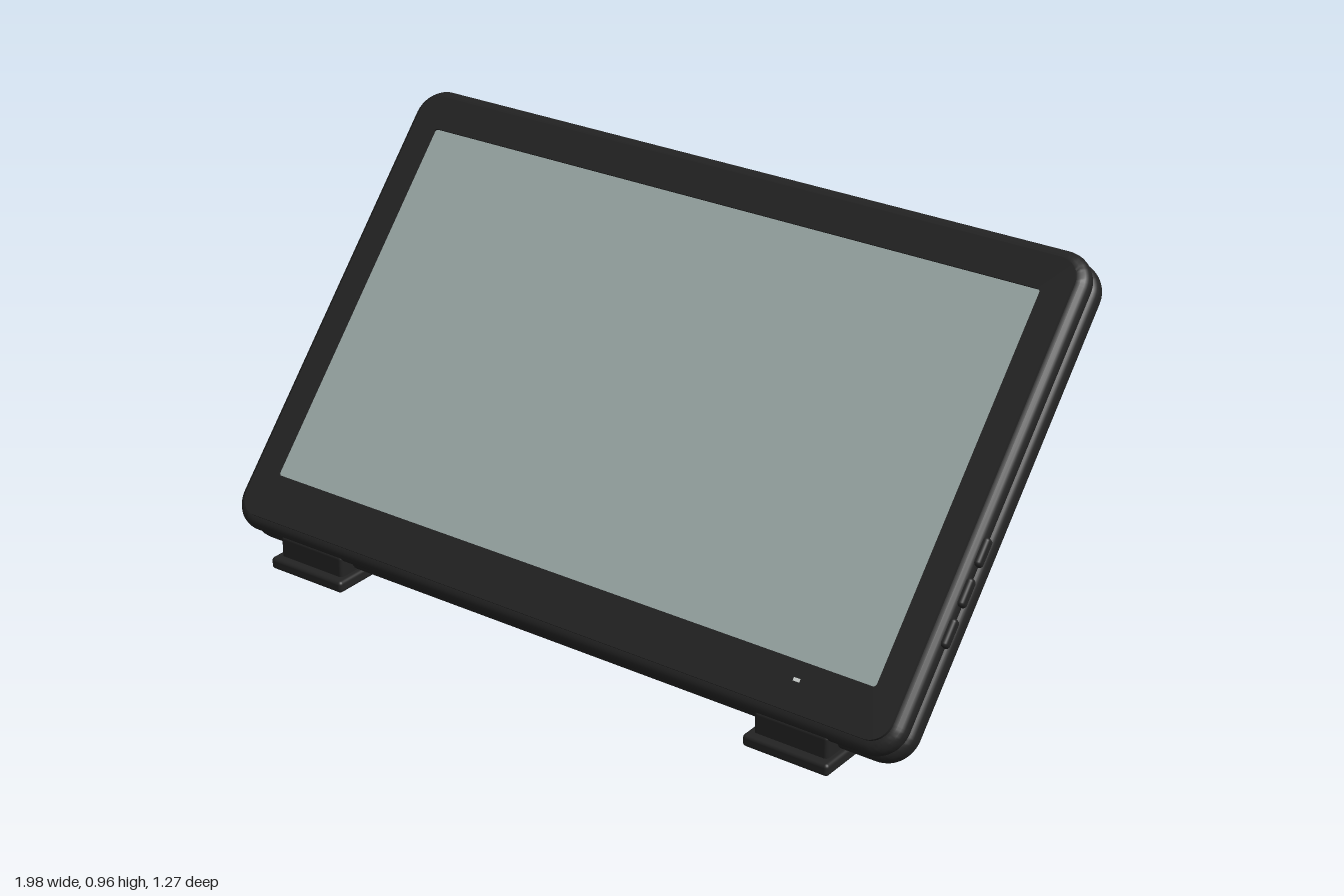
import * as THREE from 'three';
import { toCreasedNormals } from 'three/addons/utils/BufferGeometryUtils.js';
import { RoundedBoxGeometry } from 'three/addons/geometries/RoundedBoxGeometry.js';

const mat = (name, color) => Object.assign(new THREE.MeshStandardMaterial({ color }), { name });

function add(parent, name, geometry, material, x = 0, y = 0, z = 0) {
  const mesh = new THREE.Mesh(geometry, material);
  mesh.name = name;
  mesh.position.set(x, y, z);
  parent.add(mesh);
  return mesh;
}

// Rounded rectangle outline centred on (cx, cy)
function outline(target, w, h, r, cx = 0, cy = 0) {
  const x = w / 2, y = h / 2, q = Math.PI / 2;
  target.absarc(cx + x - r, cy + y - r, r, 0, q);
  target.absarc(cx - x + r, cy + y - r, r, q, 2 * q);
  target.absarc(cx - x + r, cy - y + r, r, 2 * q, 3 * q);
  target.absarc(cx + x - r, cy - y + r, r, 3 * q, 4 * q);
  target.closePath();
  return target;
}

// Slab with rounded corners and rounded edges, centred on z = 0
function slab(w, h, r, depth, bevel) {
  const geo = new THREE.ExtrudeGeometry(
    outline(new THREE.Shape(), w - 2 * bevel, h - 2 * bevel, r - bevel),
    { depth: depth - 2 * bevel, bevelEnabled: true, bevelSize: bevel, bevelThickness: bevel, bevelSegments: 4, curveSegments: 8 });
  geo.translate(0, 0, bevel - depth / 2);
  return toCreasedNormals(geo, 0.6);
}

export function createModel() {
  const casing = mat('black casing', 0x232323);
  const glass = mat('grey screen', 0x9aa8a6);
  const light = mat('pale indicator', 0xd2d6d4);

  const model = new THREE.Group();
  model.name = 'tabletOnStand';
  model.rotation.y = -0.2;

  // Leaning tablet: two rounded shells meeting at a seam
  const tablet = new THREE.Group();
  tablet.name = 'tablet';
  tablet.position.set(0.008, 0.4925, 0.0445);
  tablet.rotation.x = -0.724;
  model.add(tablet);
  const W = 1.875, H = 1.17;
  add(tablet, 'backShell', slab(W, H, 0.075, 0.062, 0.026), casing, 0, 0, -0.03);
  add(tablet, 'frontShell', slab(W, H, 0.075, 0.056, 0.026), casing, 0, 0, 0.026);

  // Raised bezel around the sunken screen
  const frame = outline(new THREE.Shape(), W - 0.05, H - 0.05, 0.05);
  frame.holes.push(outline(new THREE.Path(), 1.69, 0.927, 0.008, 0, 0.014));
  add(tablet, 'bezel', new THREE.ExtrudeGeometry(frame, { depth: 0.009, bevelEnabled: false }), casing, 0, 0, 0.053);
  add(tablet, 'screen', new THREE.BoxGeometry(1.69, 0.927, 0.004), glass, 0, 0.014, 0.055);
  add(tablet, 'indicatorLight', new THREE.BoxGeometry(0.016, 0.008, 0.002), light, 0.665, -0.491, 0.0625);

  // Side buttons
  for (const y of [-0.1, -0.193, -0.286]) {
    add(tablet, 'sideButton', new RoundedBoxGeometry(0.024, 0.066, 0.028, 3, 0.009), casing, W / 2 - 0.002, y, 0.026);
  }

  // Front feet: flat pad with a neck up to the tablet edge
  for (const side of [-1, 1]) {
    const x = 0.006 + side * 0.682;
    add(model, 'footPad', new RoundedBoxGeometry(0.22, 0.03, 0.124, 3, 0.009), casing, x, 0.015, 0.42);
    add(model, 'footNeck', new RoundedBoxGeometry(0.19, 0.07, 0.1, 3, 0.009), casing, x, 0.048, 0.41);
  }

  // Rear stand: hinge barrel, sloping panel and base bar
  const barrel = new THREE.CylinderGeometry(0.045, 0.045, 0.99, 28);
  barrel.rotateZ(Math.PI / 2);
  add(model, 'hingeBarrel', barrel, casing, 0.01, 0.49, -0.068);
  const panel = add(model, 'standPanel', new RoundedBoxGeometry(0.925, 0.62, 0.042, 3, 0.008), casing, 0.015, 0.26, -0.288);
  panel.rotation.x = 0.738;
  add(model, 'standBase', new RoundedBoxGeometry(0.955, 0.045, 0.105, 3, 0.01), casing, 0.017, 0.0225, -0.508);

  return model;
}
